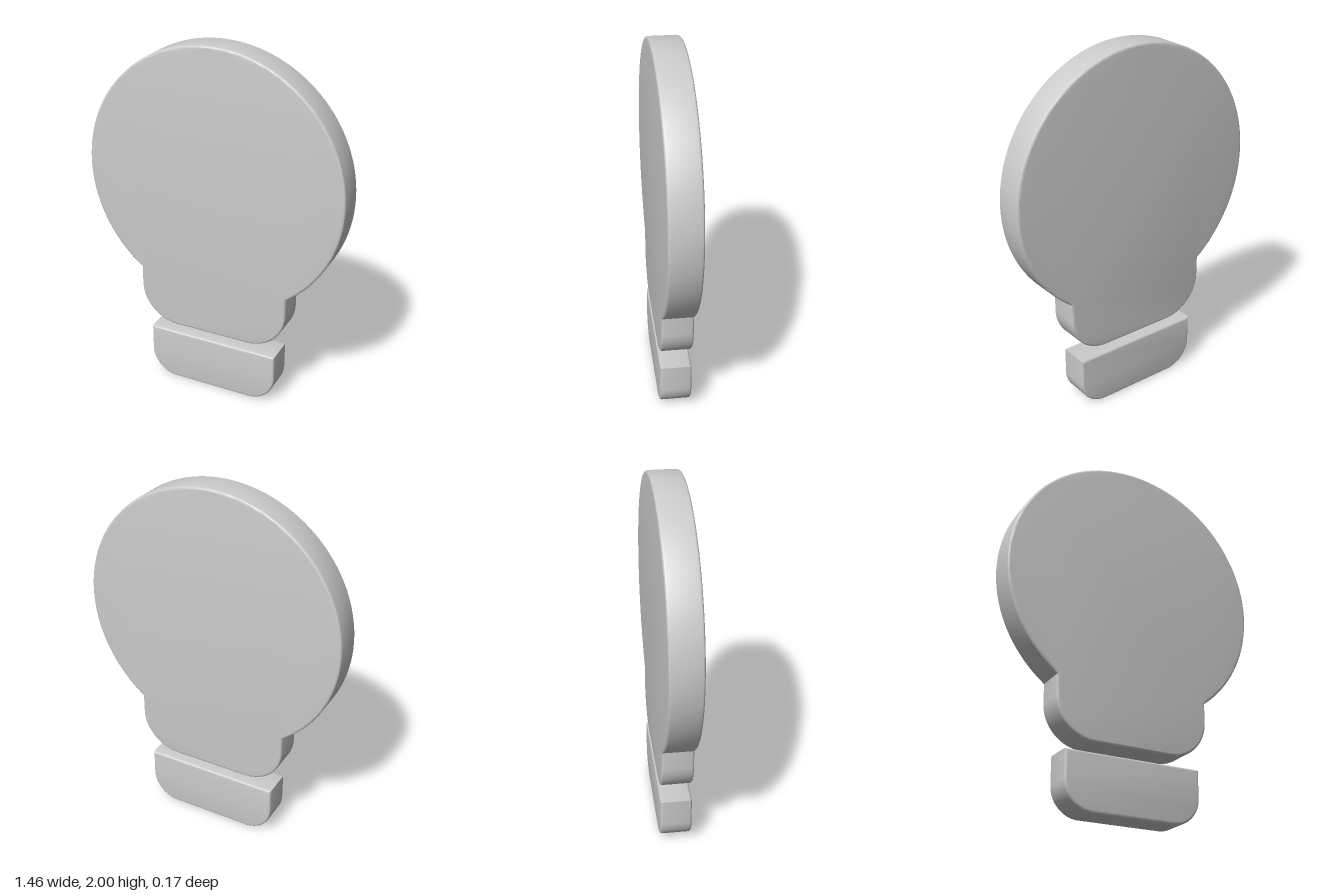
import * as THREE from 'three';
import { toCreasedNormals } from 'three/addons/utils/BufferGeometryUtils.js';

const DEPTH = 0.172;
const BEVEL = 0.013;

// Flat slab with softly rounded front and back edges, centred on z = 0
function slab(name, shape, material) {
  const geometry = new THREE.ExtrudeGeometry(shape, {
    depth: DEPTH - 2 * BEVEL,
    bevelThickness: BEVEL,
    bevelSize: BEVEL,
    bevelOffset: -BEVEL,
    bevelSegments: 4,
    curveSegments: 48,
  });
  geometry.translate(0, 0, BEVEL - DEPTH / 2);
  const mesh = new THREE.Mesh(toCreasedNormals(geometry, Math.PI / 6), material);
  mesh.name = name;
  return mesh;
}

// Starts an outline with a flat bottom and a rounded lower right corner
function startCup(halfWidth, bottom, radius) {
  const shape = new THREE.Shape();
  shape.moveTo(-halfWidth + radius, bottom);
  shape.lineTo(halfWidth - radius, bottom);
  shape.absarc(halfWidth - radius, bottom + radius, radius, -Math.PI / 2, 0, false);
  return shape;
}

// Ends it with the rounded lower left corner
function endCup(shape, halfWidth, bottom, radius) {
  shape.lineTo(-halfWidth, bottom + radius);
  shape.absarc(-halfWidth + radius, bottom + radius, radius, Math.PI, Math.PI * 1.5, false);
  return shape;
}

export function createModel() {
  const group = new THREE.Group();
  group.name = 'lightBulb';
  const material = new THREE.MeshStandardMaterial({ color: 0xcccccc });

  // Round globe running into a narrower neck
  const radius = 0.73, centreY = 1.27;
  const neck = [0.434, 0.36, 0.22];
  const joint = -Math.acos(neck[0] / radius);
  const globe = startCup(...neck);
  globe.lineTo(neck[0], centreY + radius * Math.sin(joint));
  globe.absarc(0, centreY, radius, joint, Math.PI - joint, false);
  group.add(slab('globeAndNeck', endCup(globe, ...neck), material));

  // Separate cap below the neck, square on top and rounded underneath
  const cap = [0.38, 0.005, 0.155];
  const capShape = startCup(...cap);
  capShape.lineTo(cap[0], 0.308);
  capShape.lineTo(-cap[0], 0.308);
  group.add(slab('baseCap', endCup(capShape, ...cap), material));

  return group;
}
